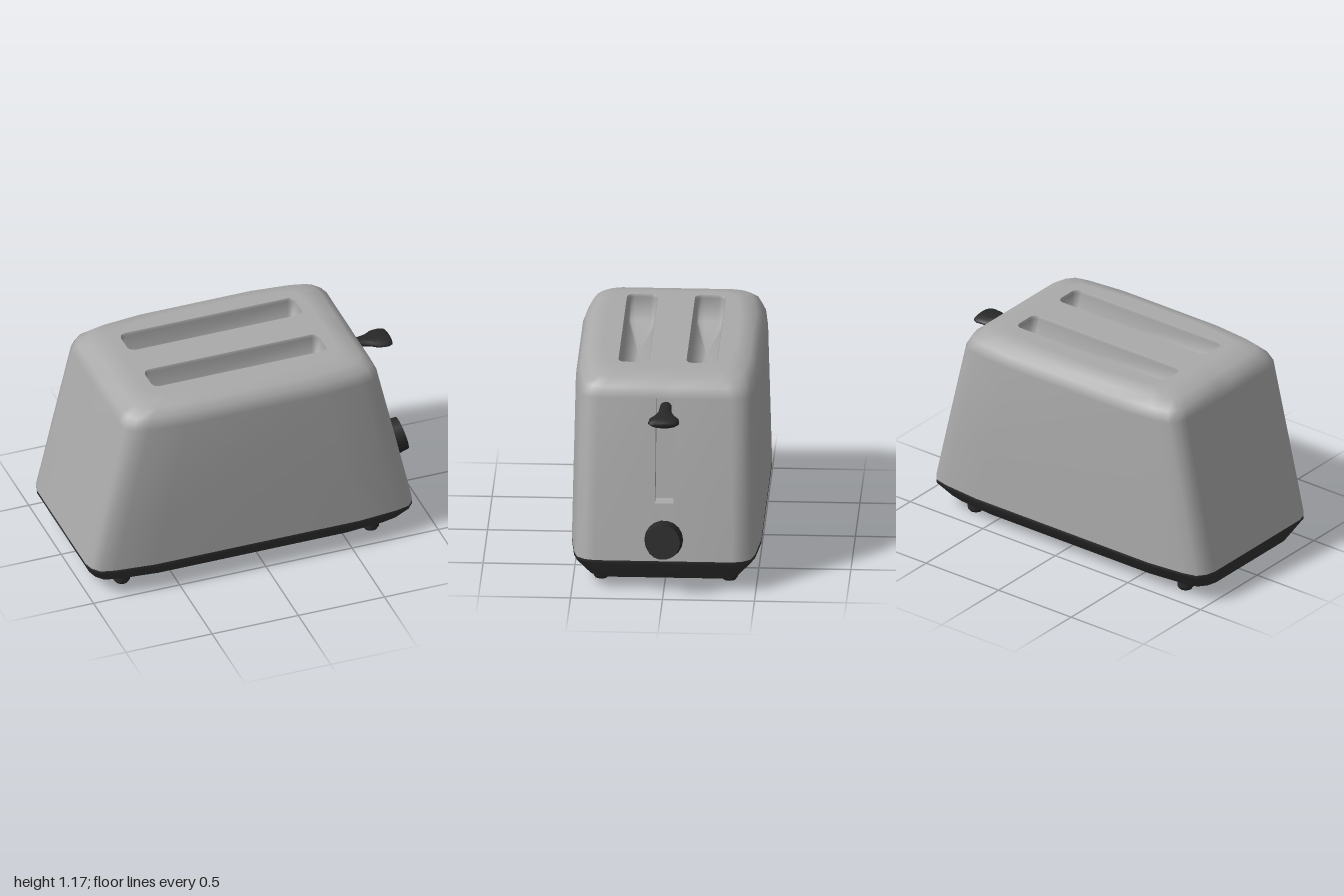
import * as THREE from 'three';

const CX = -0.055; // body centre in x
const TOP = 1.17;

// Skin a list of equal-length closed rings; optional fan caps and skipped quad.
function loft(rings, { capStart = false, capEnd = false, skip = () => false, flat = false } = {}) {
  const n = rings[0].length;
  const verts = rings.flat();
  const index = [];
  for (let i = 0; i < rings.length - 1; i++) {
    for (let j = 0; j < n; j++) {
      if (skip(i, j)) continue;
      const k = (j + 1) % n;
      const a = i * n + j, b = i * n + k, c = a + n, d = b + n;
      index.push(a, c, b, b, c, d);
    }
  }
  const cap = (row, end) => {
    const centre = verts.length;
    const mid = rings[row].reduce((s, p) => s.add(p), new THREE.Vector3()).divideScalar(n);
    verts.push(mid);
    for (let j = 0; j < n; j++) {
      const a = row * n + j, b = row * n + ((j + 1) % n);
      index.push(centre, end ? b : a, end ? a : b);
    }
  };
  if (capStart) cap(0, false);
  if (capEnd) cap(rings.length - 1, true);
  let geo = new THREE.BufferGeometry().setFromPoints(verts);
  geo.setIndex(index);
  if (flat) geo = geo.toNonIndexed();
  geo.computeVertexNormals();
  return geo;
}

// Mirror a quarter outline (from +x towards +z) into a full ring.
function mirrorRing(quarter, cx, y, cz = 0) {
  const back = [...quarter].reverse();
  const all = [
    ...quarter,
    ...back.map(([x, z]) => [-x, z]),
    ...quarter.map(([x, z]) => [-x, -z]),
    ...back.map(([x, z]) => [x, -z]),
  ];
  return all.map(([x, z]) => new THREE.Vector3(cx + x, y, cz + z));
}

// Softly rounded body section; the first point borders the lever groove.
function bodyRing(y, hx, hz) {
  return mirrorRing([
    [hx, 0.05], [hx, hz - 0.14], [hx - 0.015, hz - 0.085],
    [hx - 0.05, hz - 0.042], [hx - 0.13, hz - 0.022], [hx - 0.35, hz],
  ], CX, y);
}

// Bread slot section with chamfered corners.
function slotRing(y, z, inset) {
  const hx = 0.51 - inset, hz = 0.085 - inset;
  return mirrorRing([[hx, hz - 0.035], [hx - 0.01, hz - 0.012], [hx - 0.035, hz]], CX, y, z);
}

function toPath(ring, PathType) {
  return new PathType(ring.map((p) => new THREE.Vector2(p.x, -p.z)));
}

export function createModel() {
  const model = new THREE.Group();
  const steel = new THREE.MeshStandardMaterial({ name: 'brushed grey', color: 0xaaaaaa });
  const baseMat = new THREE.MeshStandardMaterial({ name: 'dark base', color: 0x343434 });
  const black = new THREE.MeshStandardMaterial({ name: 'black plastic', color: 0x282828 });
  const add = (name, geo, mat) => {
    const mesh = new THREE.Mesh(geo, mat);
    mesh.name = name;
    model.add(mesh);
    return mesh;
  };

  // Tapered shell, with one quad left open for the lever groove
  const shellRings = [
    [0.18, 0.945, 0.515], [0.49, 0.875, 0.511], [1.05, 0.747, 0.503],
    [1.105, 0.722, 0.478], [1.145, 0.67, 0.442], [TOP, 0.56, 0.365],
  ].map((r) => bodyRing(...r));
  const n = shellRings[0].length;
  const shell = loft(shellRings, { skip: (i, j) => i === 1 && j === n - 1 });
  const normals = shell.attributes.normal;
  for (let j = normals.count - n; j < normals.count; j++) normals.setXYZ(j, 0, 1, 0);
  add('bodyShell', shell, steel);

  // Top plate with two bread slots
  const plate = toPath(shellRings.at(-1), THREE.Shape);
  for (const z of [-0.187, 0.183]) {
    plate.holes.push(toPath(slotRing(TOP, z, 0), THREE.Path));
    add('breadSlot', loft([
      slotRing(TOP, z, 0), slotRing(TOP - 0.015, z, 0.006), slotRing(TOP - 0.15, z, 0.008),
    ], { capEnd: true }), steel);
  }
  add('topPlate', new THREE.ShapeGeometry(plate).rotateX(-Math.PI / 2).translate(0, TOP, 0), steel);

  // Recessed lever groove
  const low = shellRings[1][0], high = shellRings[2][0];
  const mouth = [[high, 1], [high, -1], [low, -1], [low, 1]]
    .map(([p, s]) => new THREE.Vector3(p.x, p.y, p.z * s));
  const recess = mouth.map((p) => p.clone().add(new THREE.Vector3(-0.08, 0, 0)));
  add('leverGroove', loft([mouth, recess], { capEnd: true, flat: true }), steel);

  // Dark base tray
  add('base', loft([
    bodyRing(0.066, 0.895, 0.44), bodyRing(0.16, 0.943, 0.515), bodyRing(0.18, 0.945, 0.515),
  ]), baseMat);
  add('baseUnderside', loft([
    bodyRing(0.066, 0.895, 0.44), bodyRing(0.0661, 0.895, 0.44),
  ], { capStart: true, flat: true }), baseMat);

  // Lever: x, centre y, half height, half width
  const lever = [
    [0.62, 0.982, 0.024, 0.03], [0.73, 0.982, 0.023, 0.036], [0.78, 0.98, 0.021, 0.055],
    [0.82, 0.978, 0.026, 0.08], [0.87, 0.977, 0.026, 0.086], [0.895, 0.977, 0.021, 0.074],
    [0.902, 0.977, 0.012, 0.05],
  ].map(([x, y, h, w]) => Array.from({ length: 14 }, (_, i) => {
    const a = (i / 14) * Math.PI * 2;
    return new THREE.Vector3(x, y + h * Math.cos(a), -w * Math.sin(a));
  }));
  add('lever', loft(lever, { capEnd: true }), black);

  // Browning knob, square to the sloping end
  const knob = add('knob', new THREE.CylinderGeometry(0.094, 0.106, 0.12, 18).translate(0, 0.06, 0), black);
  knob.position.set(0.86, 0.295, 0);
  knob.rotation.z = -1.347;

  // Feet
  for (const x of [-0.78, 0.665]) {
    for (const z of [-0.348, 0.348]) {
      add('foot', new THREE.CylinderGeometry(0.046, 0.046, 0.06, 12), black).position.set(x, 0.045, z);
      add('footTip', new THREE.CylinderGeometry(0.046, 0.036, 0.015, 12), black).position.set(x, 0.0075, z);
    }
  }
  return model;
}
